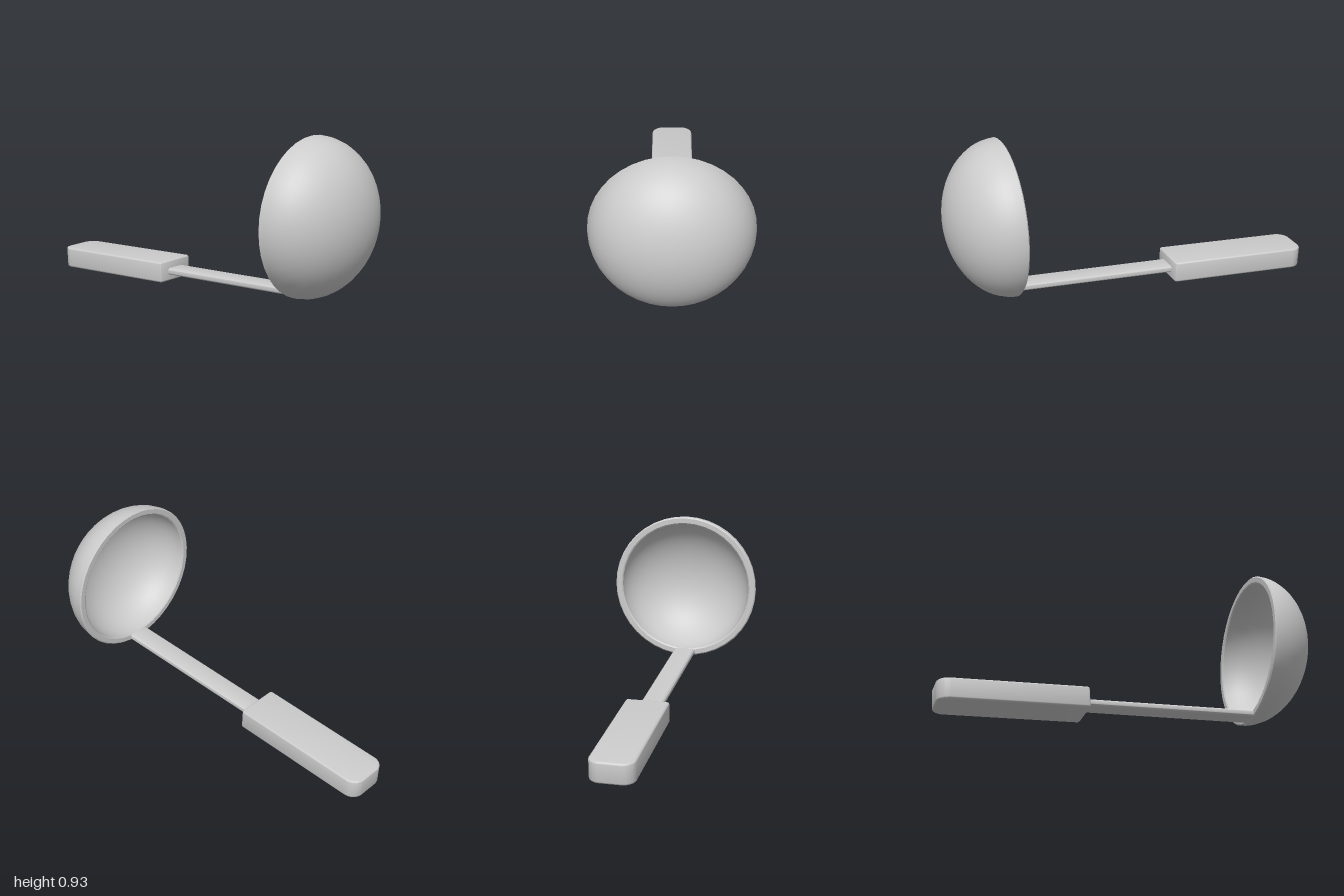
import * as THREE from 'three';
import { toCreasedNormals } from 'three/addons/utils/BufferGeometryUtils.js';

const TILT = 0.054; // shared slope of grip and shaft

function addMesh(group, name, geometry, crease) {
  const material = new THREE.MeshStandardMaterial({ color: 0xcccccc });
  const mesh = new THREE.Mesh(toCreasedNormals(geometry, crease), material);
  mesh.name = name;
  group.add(mesh);
  return mesh;
}

// Rectangle from x0 to x1 with its own corner radius at each end
function roundedOutline(x0, x1, halfWidth, r0, r1) {
  const s = new THREE.Shape();
  const q = Math.PI / 2;
  s.absarc(x1 - r1, halfWidth - r1, r1, 0, q);
  s.absarc(x0 + r0, halfWidth - r0, r0, q, 2 * q);
  s.absarc(x0 + r0, -halfWidth + r0, r0, 2 * q, 3 * q);
  s.absarc(x1 - r1, -halfWidth + r1, r1, 3 * q, 4 * q);
  s.closePath();
  return s;
}

// Grip: flat block, well rounded at its free end, softly bevelled edges
function gripGeometry() {
  const bevel = 0.01, thickness = 0.112;
  const shape = roundedOutline(bevel, 0.777 - bevel, 0.117 - bevel, 0.055, 0.006);
  const g = new THREE.ExtrudeGeometry(shape, {
    depth: thickness - 2 * bevel, bevelEnabled: true, bevelSize: bevel,
    bevelThickness: bevel, bevelSegments: 3, curveSegments: 8,
  });
  g.translate(0, 0, -thickness / 2 + bevel);
  return g.rotateX(-Math.PI / 2);
}

// Shaft: flattened bar with rounded sides, running along +x
function shaftGeometry(length) {
  const shape = roundedOutline(-0.06, 0.06, 0.018, 0.0165, 0.0165);
  const g = new THREE.ExtrudeGeometry(shape, { depth: length, bevelEnabled: false, curveSegments: 5 });
  return g.rotateY(Math.PI / 2);
}

// Bowl: half-ellipsoid shell turned about its axis, with a softened rim
function bowlGeometry() {
  const profile = [];
  const steps = 18;
  const outerR = 0.41, outerD = 0.315, innerR = 0.37, innerD = 0.278, soft = 0.007;
  for (let i = 0; i <= steps; i++) {
    const a = (i / steps) * (Math.PI / 2 - 0.02);
    profile.push(new THREE.Vector2(outerR * Math.sin(a), -outerD * Math.cos(a)));
  }
  profile.push(new THREE.Vector2(outerR - soft, 0), new THREE.Vector2(innerR + soft, 0));
  for (let i = steps; i >= 0; i--) {
    const a = (i / steps) * (Math.PI / 2 - 0.02);
    profile.push(new THREE.Vector2(innerR * Math.sin(a), -innerD * Math.cos(a)));
  }
  return new THREE.LatheGeometry(profile, 40).rotateZ(Math.PI / 2);
}

export function createModel() {
  const ladle = new THREE.Group();
  ladle.name = 'ladle';

  const grip = addMesh(ladle, 'grip', gripGeometry(), 0.6);
  grip.position.set(-0.997, 0.061, 0);
  grip.rotation.z = TILT;

  const shaft = addMesh(ladle, 'shaft', shaftGeometry(0.93), 0.6);
  shaft.position.set(-0.24, 0.097, 0);
  shaft.rotation.z = TILT - 0.004;

  const bowl = addMesh(ladle, 'bowl', bowlGeometry(), 0.6);
  bowl.position.set(0.685, 0.53, 0);

  return ladle;
}
